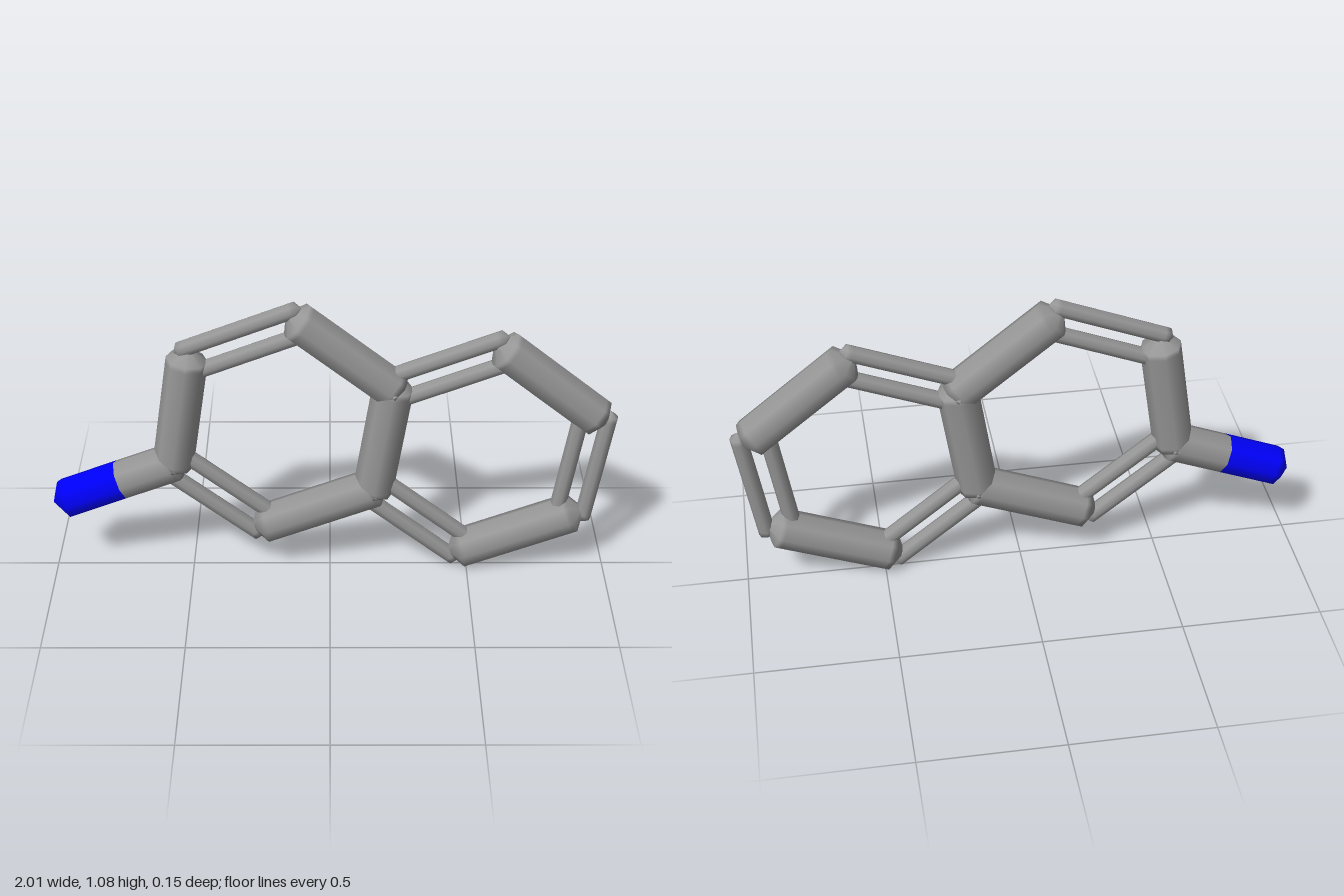
import * as THREE from 'three';

const grey = new THREE.MeshStandardMaterial({ color: 0x969696 });
const blue = new THREE.MeshStandardMaterial({ color: 0x0000ff });

const SIDES = 8;
const THICK = 0.073; // radius of a single-bond stick
const THIN = 0.03; // radius of each rod in a double bond
const GAP = 0.049; // offset of each rod from the bond axis
const OVERHANG = 0.008; // how far a capped end runs past its joint

// Joint positions in the x-y plane: two hexagons sharing an edge, plus one side arm
const STEP = 0.416;
const TILT = THREE.MathUtils.degToRad(21.2);

function walk(p, sixths) {
  const angle = TILT + sixths * Math.PI / 3;
  return new THREE.Vector2(p.x + STEP * Math.cos(angle), p.y + STEP * Math.sin(angle));
}

function hexagon(start) {
  const points = [start];
  for (let i = 0; i < 5; i++) points.push(walk(points[i], -i));
  return points;
}

// Stick from a to b with a softly shaded, shallow pointed cap on the chosen ends
function stick(name, a, b, radius, material, capA = true, capB = true) {
  const half = a.distanceTo(b) / 2;
  const tip = radius * 0.66;
  const bottom = -half - (capA ? OVERHANG : 0);
  const top = half + (capB ? OVERHANG : 0);
  const profile = [[radius, bottom], [radius, bottom + 0.02], [radius, top - 0.02], [radius, top]];
  if (capA) profile.unshift([0, bottom - tip]);
  if (capB) profile.push([0, top + tip]);
  const points = profile.map(([x, y]) => new THREE.Vector2(x, y));
  const mesh = new THREE.Mesh(new THREE.LatheGeometry(points, SIDES), material);
  mesh.name = name;
  mesh.position.set((a.x + b.x) / 2, (a.y + b.y) / 2, 0);
  mesh.rotation.z = Math.atan2(b.y - a.y, b.x - a.x) - Math.PI / 2;
  return mesh;
}

// Two parallel thin rods either side of the bond axis
function doubleBond(name, a, b) {
  const group = new THREE.Group();
  group.name = name;
  const across = b.clone().sub(a).normalize().rotateAround(new THREE.Vector2(), Math.PI / 2);
  for (const side of [-1, 1]) {
    const shift = across.clone().multiplyScalar(side * GAP);
    group.add(stick(side > 0 ? 'outerRod' : 'innerRod', a.clone().add(shift), b.clone().add(shift), THIN, grey));
  }
  return group;
}

export function createModel() {
  const model = new THREE.Group();
  model.name = 'ringMolecule';

  // Each ring runs clockwise from its upper left joint
  const left = hexagon(new THREE.Vector2(-0.493, 0.853));
  const right = hexagon(left[2]);

  const singles = [
    ['leftRingUpperStick', left[1], left[2]],
    ['sharedStick', left[2], left[3]],
    ['leftRingLowerStick', left[3], left[4]],
    ['leftRingSideStick', left[5], left[0]],
    ['rightRingUpperStick', right[1], right[2]],
    ['rightRingLowerStick', right[3], right[4]],
  ];
  for (const [name, a, b] of singles) model.add(stick(name, a, b, THICK, grey));

  const doubles = [
    ['leftRingTopPair', left[0], left[1]],
    ['leftRingBottomPair', left[4], left[5]],
    ['rightRingTopPair', right[0], right[1]],
    ['rightRingSidePair', right[2], right[3]],
    ['rightRingBottomPair', right[4], right[5]],
  ];
  for (const [name, a, b] of doubles) model.add(doubleBond(name, a, b));

  // Side arm: grey inner half, blue outer half
  const arm = left[5];
  const end = walk(arm, 3);
  const middle = arm.clone().lerp(end, 0.49);
  model.add(stick('armInnerHalf', arm, middle, THICK, grey, true, false));
  model.add(stick('armOuterHalf', middle, end, THICK, blue, false, true));

  return model;
}
